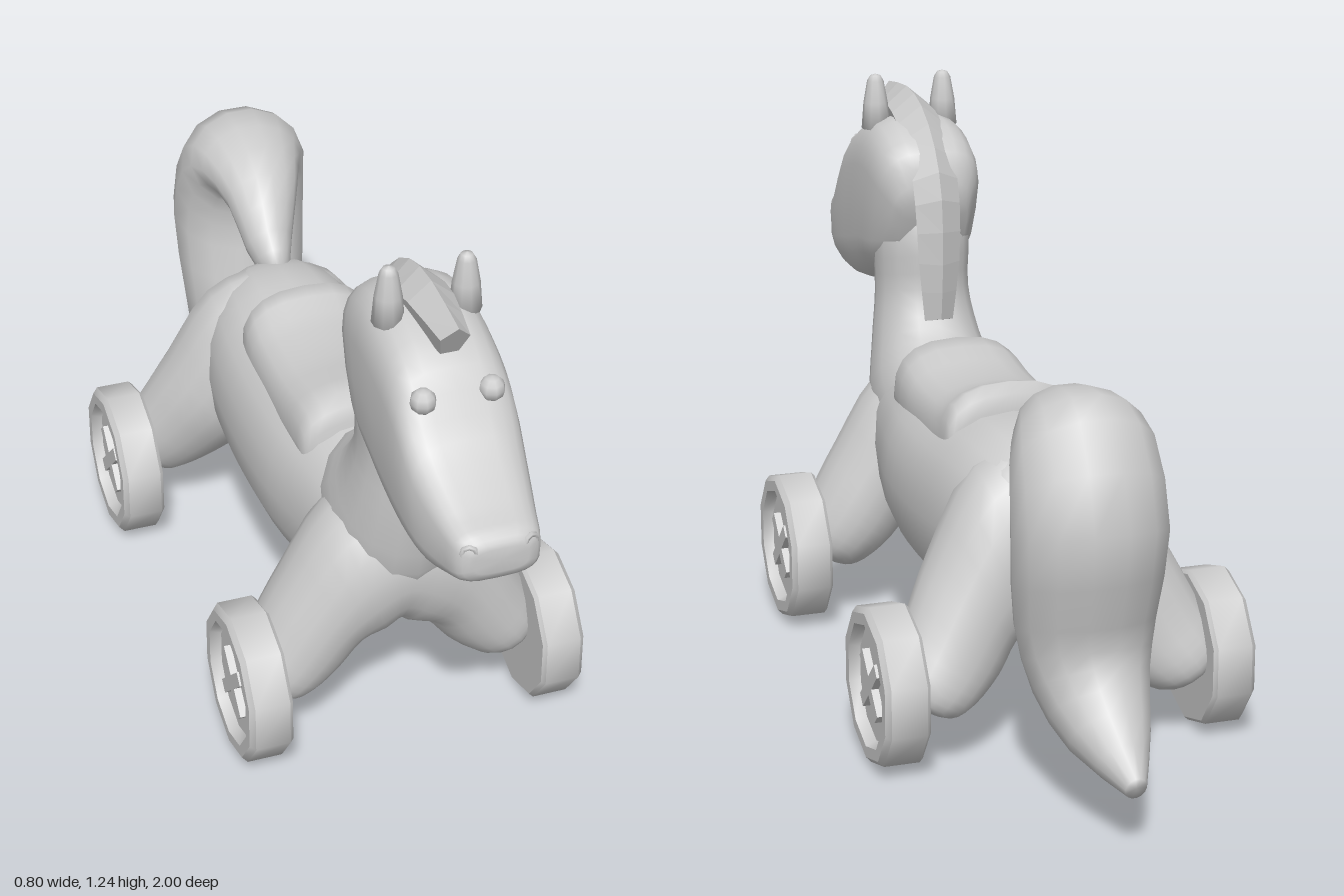
import * as THREE from 'three';
import { toCreasedNormals } from 'three/addons/utils/BufferGeometryUtils.js';

const V = (x, y, z) => new THREE.Vector3(x, y, z);
const smooth = new THREE.MeshStandardMaterial({ color: 0xcccccc });
const faceted = new THREE.MeshStandardMaterial({ color: 0xcccccc, flatShading: true });

function add(parent, name, geometry, material = smooth, x = 0, y = 0, z = 0) {
  const mesh = new THREE.Mesh(geometry, material);
  mesh.name = name;
  mesh.position.set(x, y, z);
  parent.add(mesh);
  return mesh;
}

// Closed skin through rings { c: centre, u: half axis, v: half axis }.
// power < 1 gives boxy sections.
function loft(rings, { sides = 16, power = 1, steps = 3 } = {}) {
  const curve = key => new THREE.CatmullRomCurve3(rings.map(r => r[key]), false, 'catmullrom', 0.5);
  const [cc, cu, cv] = ['c', 'u', 'v'].map(curve);
  const rows = (rings.length - 1) * steps + 1;
  const pos = [], idx = [];
  const bend = t => Math.sign(t) * Math.pow(Math.abs(t) < 1e-6 ? 0 : Math.abs(t), power);
  for (let i = 0; i < rows; i++) {
    const t = i / (rows - 1), c = cc.getPoint(t), u = cu.getPoint(t), v = cv.getPoint(t);
    for (let j = 0; j < sides; j++) {
      const a = j / sides * Math.PI * 2;
      const p = c.clone().addScaledVector(u, bend(Math.cos(a))).addScaledVector(v, bend(Math.sin(a)));
      pos.push(p.x, p.y, p.z);
      if (i < rows - 1) {
        const k = (j + 1) % sides, q = i * sides, n = q + sides;
        idx.push(q + j, q + k, n + j, q + k, n + k, n + j);
      }
    }
  }
  // end caps
  const first = rings[0].c, last = rings[rings.length - 1].c, f = rows * sides;
  pos.push(first.x, first.y, first.z, last.x, last.y, last.z);
  for (let j = 0; j < sides; j++) {
    const k = (j + 1) % sides, q = (rows - 1) * sides;
    idx.push(f, k, j, f + 1, q + j, q + k);
  }
  // turn the skin outward if its signed volume is negative
  let volume = 0;
  const at = i => V(pos[i * 3], pos[i * 3 + 1], pos[i * 3 + 2]);
  for (let i = 0; i < idx.length; i += 3) volume += at(idx[i]).dot(at(idx[i + 1]).cross(at(idx[i + 2])));
  if (volume < 0) idx.reverse();
  const g = new THREE.BufferGeometry();
  g.setAttribute('position', new THREE.Float32BufferAttribute(pos, 3));
  g.setIndex(idx);
  g.computeVertexNormals();
  return g;
}

// Ring between an upper and a lower outline point of the side profile.
const ring = (z1, y1, z2, y2, halfWidth, x = 0.01) => ({
  c: V(x, (y1 + y2) / 2, (z1 + z2) / 2),
  u: V(halfWidth, 0, 0),
  v: V(0, (y1 - y2) / 2, (z1 - z2) / 2),
});

// A pair of legs as one arch, foot to foot through the body.
// Points run from the middle to a foot: x, y, radius, depth, z, tilt.
function legPair(points) {
  const half = side => points.map(([x, y, r, depth, z, tilt]) => ({
    c: V(side * x, y, z),
    u: V(side * Math.sin(tilt) * r, Math.cos(tilt) * r, 0),
    v: V(0, 0, depth),
  }));
  return loft([...half(-1).reverse(), ...half(1).slice(1)], { sides: 18 });
}

function makeWheel(side, x, z) {
  const wheel = new THREE.Group();
  wheel.name = 'wheel';
  const profile = [[0, -0.048], [0.164, -0.048], [0.172, -0.04], [0.172, 0.036], [0.16, 0.047],
    [0.135, 0.047], [0.125, 0.024], [0, 0.024]].map(p => new THREE.Vector2(...p));
  add(wheel, 'wheelRim', toCreasedNormals(new THREE.LatheGeometry(profile, 10, Math.PI / 2), 0.68));
  for (const turn of [1, -1]) {
    const bar = add(wheel, 'wheelCross', new THREE.BoxGeometry(0.155, 0.02, 0.03), faceted, 0, 0.03, 0);
    bar.rotation.y = turn * 0.8;
  }
  wheel.rotation.z = -side * Math.PI / 2;
  wheel.position.set(x, 0.172, z);
  return wheel;
}

export function createModel() {
  const horse = new THREE.Group();
  horse.name = 'rollingHorse';

  // barrel of the body, rump to chest: z, top, bottom, half width
  add(horse, 'body', loft([
    [-0.475, 0.55, 0.4, 0.06], [-0.455, 0.61, 0.32, 0.12], [-0.40, 0.65, 0.27, 0.165],
    [-0.28, 0.668, 0.235, 0.195], [-0.1, 0.655, 0.225, 0.205], [0.1, 0.65, 0.225, 0.2],
    [0.25, 0.64, 0.235, 0.175], [0.38, 0.62, 0.265, 0.15], [0.48, 0.6, 0.31, 0.12], [0.545, 0.54, 0.4, 0.06],
  ].map(([z, t, b, w]) => ring(z, t, z, b, w)), { sides: 20, power: 0.88 }));

  // chest with front legs, hips with rear legs
  add(horse, 'frontLegs', legPair([
    [0, 0.45, 0.175, 0.145, 0.42, 0], [0.08, 0.41, 0.165, 0.14, 0.42, 0.35],
    [0.15, 0.33, 0.12, 0.125, 0.42, 0.75], [0.205, 0.245, 0.108, 0.115, 0.42, 0.95],
    [0.25, 0.185, 0.092, 0.1, 0.425, 1], [0.272, 0.155, 0.065, 0.07, 0.43, 1], [0.28, 0.145, 0.02, 0.02, 0.43, 1],
  ]));
  add(horse, 'rearLegs', legPair([
    [0, 0.45, 0.205, 0.13, -0.36, 0], [0.09, 0.42, 0.195, 0.14, -0.365, 0.3],
    [0.16, 0.335, 0.135, 0.13, -0.385, 0.7], [0.215, 0.245, 0.118, 0.11, -0.42, 0.95],
    [0.265, 0.18, 0.1, 0.095, -0.45, 1], [0.29, 0.145, 0.07, 0.07, -0.46, 1], [0.3, 0.135, 0.02, 0.02, -0.46, 1],
  ]));

  add(horse, 'neck', loft([
    ring(0.17, 0.56, 0.42, 0.32, 0.13), ring(0.26, 0.645, 0.55, 0.42, 0.145),
    ring(0.335, 0.7, 0.592, 0.58, 0.125), ring(0.375, 0.78, 0.605, 0.73, 0.108),
    ring(0.375, 0.9, 0.61, 0.84, 0.11), ring(0.42, 1.03, 0.6, 0.92, 0.1),
  ]));

  add(horse, 'head', loft([
    ring(0.365, 0.99, 0.42, 0.86, 0.08), ring(0.39, 1.095, 0.52, 0.79, 0.122),
    ring(0.5, 1.15, 0.61, 0.755, 0.13), ring(0.62, 1.135, 0.7, 0.725, 0.13),
    ring(0.72, 1.085, 0.79, 0.715, 0.128), ring(0.81, 0.975, 0.87, 0.73, 0.12),
    ring(0.92, 0.905, 0.94, 0.755, 0.1), ring(0.98, 0.88, 0.985, 0.775, 0.085),
    ring(1.0, 0.855, 1.0, 0.8, 0.055),
  ], { sides: 24, power: 0.6 }));

  // ridged mane from forelock to withers, with the sharp edge outward
  add(horse, 'mane', loft([
    ring(0.75, 1.19, 0.7, 1.1, 0.032), ring(0.6, 1.207, 0.6, 1.09, 0.05),
    ring(0.48, 1.185, 0.52, 1.06, 0.055), ring(0.375, 1.11, 0.45, 1.02, 0.055),
    ring(0.32, 1.0, 0.42, 0.95, 0.055), ring(0.314, 0.85, 0.4, 0.85, 0.05),
    ring(0.328, 0.72, 0.39, 0.7, 0.035),
  ].map(({ c, u, v }) => ({ c, u: v, v: u })), { sides: 5, steps: 2 }), faceted);

  // saddle sunk into the back
  add(horse, 'saddle', loft([
    ring(0.26, 0.6, 0.24, 0.5, 0.11), ring(0.25, 0.65, 0.23, 0.48, 0.135), ring(0.22, 0.708, 0.2, 0.48, 0.146),
    ring(0.1, 0.69, 0.1, 0.48, 0.15), ring(0, 0.685, 0, 0.48, 0.15), ring(-0.1, 0.695, -0.1, 0.48, 0.15),
    ring(-0.175, 0.722, -0.16, 0.48, 0.146), ring(-0.197, 0.665, -0.18, 0.48, 0.138), ring(-0.2, 0.6, -0.19, 0.5, 0.11),
  ], { sides: 20, power: 0.78, steps: 2 }));

  // tail arching up, back and down to a point
  add(horse, 'tail', loft([
    ring(-0.37, 0.65, -0.43, 0.58, 0.03, 0.02), ring(-0.43, 0.715, -0.49, 0.61, 0.055, 0.02),
    ring(-0.52, 0.81, -0.56, 0.68, 0.085, 0.03), ring(-0.66, 0.86, -0.62, 0.69, 0.12, 0.035),
    ring(-0.8, 0.835, -0.64, 0.63, 0.15, 0.04), ring(-0.9, 0.63, -0.635, 0.54, 0.16, 0.04),
    ring(-0.85, 0.42, -0.605, 0.37, 0.145, 0.035), ring(-0.85, 0.34, -0.66, 0.21, 0.12, 0.03),
    ring(-0.9, 0.265, -0.81, 0.13, 0.085, 0.025), ring(-1.0, 0.17, -0.98, 0.12, 0.022, 0.02),
  ], { sides: 14, steps: 2 }));

  for (const side of [1, -1]) {
    // ears with rounded tips
    const ear = [[0, -0.06], [0.033, -0.06], [0.028, 0], [0.019, 0.05], [0.012, 0.062], [0, 0.066]];
    add(horse, 'ear', new THREE.LatheGeometry(ear.map(p => new THREE.Vector2(...p)), 10), smooth,
      0.01 + side * 0.08, 1.178, 0.58);
    add(horse, 'eye', new THREE.SphereGeometry(0.027, 8, 6), smooth, 0.01 + side * 0.07, 1.042, 0.752);
    add(horse, 'nostril', new THREE.TorusGeometry(0.014, 0.006, 6, 8), smooth, 0.01 + side * 0.062, 0.85, 0.988)
      .rotation.y = side * 0.35;
    horse.add(makeWheel(side, 0.007 + side * 0.328, 0.44), makeWheel(side, side * 0.355, -0.415));
  }
  return horse;
}
